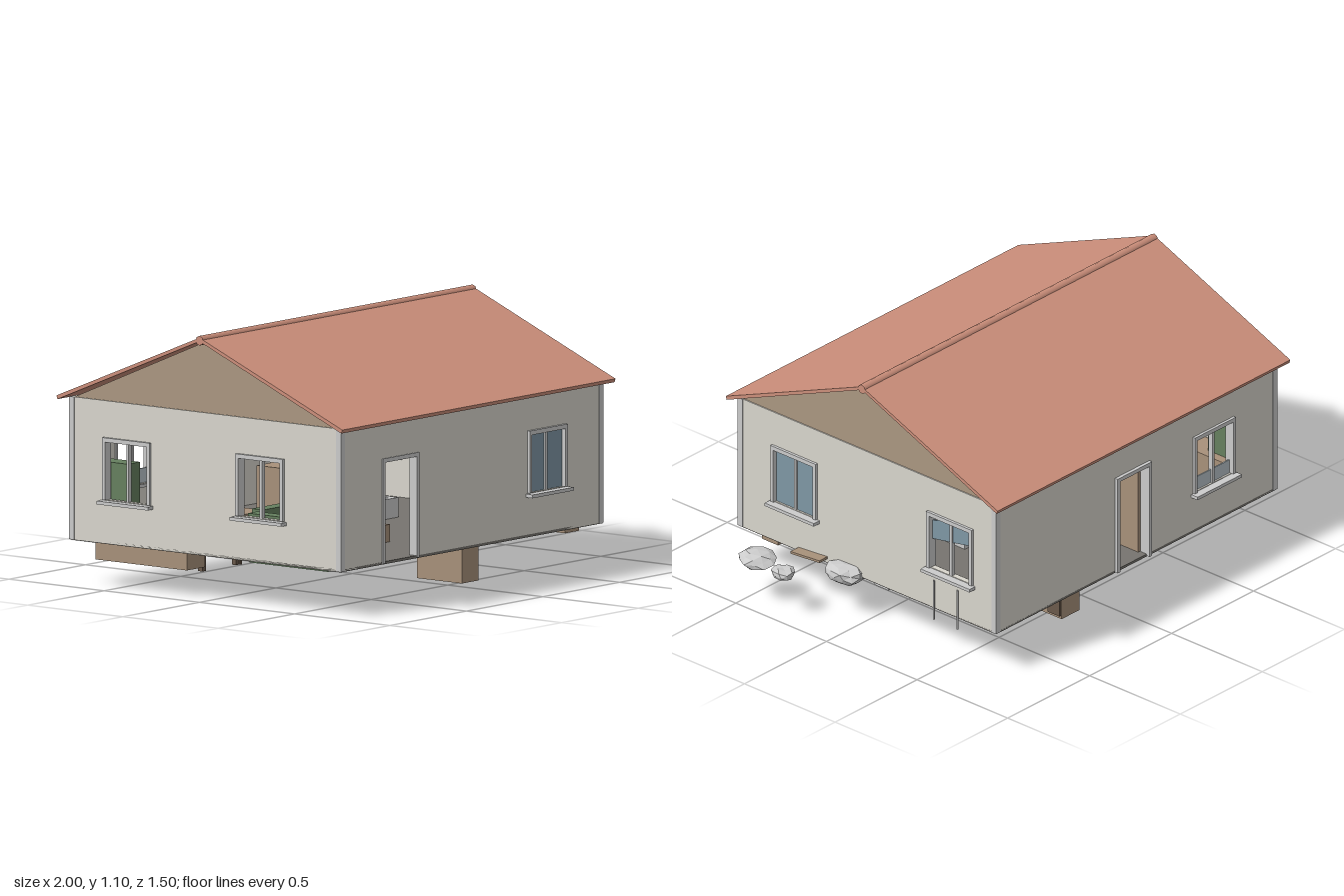
import * as THREE from 'three';

const mat = (color, flat = false) => new THREE.MeshStandardMaterial({ color, flatShading: flat, side: THREE.DoubleSide });
const M = {
  wall: mat(0xd9d6cd), trim: mat(0xcccccc), rock: mat(0xcccccc, true), roof: mat(0xcc8f7b),
  gable: mat(0xab9781), wood: mat(0xa8917a), darkWood: mat(0x6b5a4c), glass: mat(0x7f97a5),
  floor: mat(0x77746f), green: mat(0x66805f), paleGlass: mat(0xb8c4ca),
};
const X0 = -0.96, X1 = 0.75, CX = (X0 + X1) / 2, ZW = 0.71, Y0 = 0.19, Y1 = 0.78, T = 0.025;

function add(parent, name, geo, material, x = 0, y = 0, z = 0) {
  const m = new THREE.Mesh(geo, material);
  m.name = name;
  m.position.set(x, y, z);
  parent.add(m);
  return m;
}

// Box given by its min and max on each axis
function box(parent, name, material, x0, x1, y0, y1, z0, z1) {
  return add(parent, name, new THREE.BoxGeometry(x1 - x0, y1 - y0, z1 - z0), material,
    (x0 + x1) / 2, (y0 + y1) / 2, (z0 + z1) / 2);
}

function polygon(points) {
  return new THREE.Shape(points.map(p => new THREE.Vector2(p[0], p[1])));
}

function rect(u0, u1, v0, v1) {
  return [[u0, v0], [u1, v0], [u1, v1], [u0, v1]];
}

// Wall side in its own frame: u along the wall, y up, z outward
function wallSide(parent, name, x, z, angle, half, openings) {
  const g = new THREE.Group();
  g.name = name;
  g.position.set(x, 0, z);
  g.rotation.y = angle;
  parent.add(g);
  const shape = polygon(openings.some(o => o.door)
    ? [[-half, Y0], ...openings.filter(o => o.door).flatMap(o =>
      [[o.u - o.w, Y0], [o.u - o.w, 0.62], [o.u + o.w, 0.62], [o.u + o.w, Y0]]), [half, Y0], [half, Y1], [-half, Y1]]
    : rect(-half, half, Y0, Y1));
  for (const o of openings) if (!o.door) shape.holes.push(polygon(rect(o.u - 0.12, o.u + 0.12, 0.37, 0.62).reverse()));
  add(g, 'wall', new THREE.ExtrudeGeometry(shape, { depth: T, bevelEnabled: false }), M.wall, 0, 0, -T);
  for (const o of openings) o.door ? doorFrame(g, o) : windowUnit(g, o);
  return g;
}

function doorFrame(g, { u, w, out = 0.004, leaf }) {
  for (const s of [-1, 1]) {
    const a = u + s * w, b = u + s * (w - 0.016);
    box(g, 'doorJamb', M.trim, Math.min(a, b), Math.max(a, b), Y0, 0.62, -0.035, out);
  }
  box(g, 'doorLintel', M.trim, u - w, u + w, 0.608, 0.625, -0.035, out);
  // Door leaf swung inward
  if (leaf) box(g, 'doorLeaf', M.wood, u + w - 0.03, u + w - 0.016, Y0 + 0.01, 0.605, -0.22, -0.035);
}

function windowUnit(g, { u, glass }) {
  for (const s of [-1, 1]) box(g, 'windowJamb', M.trim, u + s * 0.117 - 0.008, u + s * 0.117 + 0.008, 0.37, 0.625, -0.03, 0.012);
  box(g, 'windowHead', M.trim, u - 0.125, u + 0.125, 0.61, 0.628, -0.03, 0.012);
  box(g, 'windowSill', M.trim, u - 0.135, u + 0.135, 0.353, 0.367, -0.03, 0.035);
  box(g, 'mullion', M.trim, u - 0.006, u + 0.006, 0.37, 0.61, -0.02, 0);
  if (glass === 'full') box(g, 'glass', M.glass, u - 0.112, u + 0.112, 0.37, 0.61, -0.014, -0.008);
  if (glass === 'low') box(g, 'lowerGlass', M.paleGlass, u - 0.112, u + 0.112, 0.37, 0.43, -0.014, -0.008);
  // Broken pane with a slanted lower edge
  if (glass === 'broken') add(g, 'brokenGlass', new THREE.ExtrudeGeometry(
    polygon([[u - 0.11, 0.5], [u + 0.11, 0.54], [u + 0.11, 0.61], [u - 0.02, 0.61], [u - 0.11, 0.585]]),
    { depth: 0.006, bevelEnabled: false }), M.glass, 0, 0, -0.014);
}

// Rock: an icosahedron with corners pushed by a position hash
function rock(parent, x, y, z, sx, sy, sz, seed) {
  const geo = new THREE.IcosahedronGeometry(1, 1), p = geo.attributes.position, v = new THREE.Vector3();
  for (let i = 0; i < p.count; i++) {
    v.fromBufferAttribute(p, i);
    const h = Math.sin(Math.round(v.x * 50) * 12.99 + Math.round(v.y * 50) * 78.23 + Math.round(v.z * 50) * 37.7 + seed) * 437.58;
    v.multiplyScalar(0.78 + 0.27 * (h - Math.floor(h)));
    p.setXYZ(i, v.x * sx, v.y * sy, v.z * sz);
  }
  geo.computeVertexNormals();
  add(parent, 'rock', geo, M.rock, x, y, z);
}

function buildShell(g) {
  const halfX = (X1 - X0) / 2;
  wallSide(g, 'frontWall', CX, ZW, 0, halfX, [{ door: true, u: -0.465, w: 0.12 }, { u: 0.49, glass: 'full' }]);
  wallSide(g, 'rightWall', X1, 0, Math.PI / 2, ZW, [{ u: -0.4, glass: 'full' }, { u: 0.46, glass: 'broken' }]);
  wallSide(g, 'backWall', CX, -ZW, Math.PI, halfX, [{ door: true, u: -0.025, w: 0.105, out: 0.015, leaf: true }, { u: 0.47, glass: 'low' }]);
  wallSide(g, 'leftWall', X0, 0, -Math.PI / 2, ZW, [{ u: -0.41 }, { u: 0.29 }]);
  box(g, 'floor', M.floor, X0, X1, Y0 - 0.003, Y0 + 0.008, -ZW, ZW);
  box(g, 'ceiling', M.wall, X0 + T, X1 - T, Y1 - 0.012, Y1 - 0.002, -ZW + T, ZW - T);
  for (const x of [X0 + 0.01, X1 - 0.01]) for (const z of [-ZW + 0.01, ZW - 0.01])
    box(g, 'cornerPost', M.trim, x - 0.013, x + 0.013, Y0, Y1, z - 0.013, z + 0.013);
}

function buildRoof(g) {
  const section = polygon([[0.75, 0.785], [0, 1.095], [-0.75, 0.785], [-0.745, 0.77], [0, 1.08], [0.745, 0.77]]);
  const roof = add(g, 'roof', new THREE.ExtrudeGeometry(section, { depth: 1.785, bevelEnabled: false }), M.roof, 0.785);
  roof.rotation.y = -Math.PI / 2;
  const cap = add(g, 'ridgeCap', new THREE.CylinderGeometry(0.02, 0.02, 1.785, 8), M.roof, -0.1075, 1.083, 0);
  cap.rotation.z = Math.PI / 2;
  for (const x of [X0 + 0.025, X1 - 0.005]) {
    const gable = add(g, 'gable', new THREE.ExtrudeGeometry(polygon([[-0.69, Y1], [0.69, Y1], [0, 1.075]]),
      { depth: 0.02, bevelEnabled: false }), M.gable, x);
    gable.rotation.y = -Math.PI / 2;
  }
}

function buildFurniture(g) {
  // Two deep cabinets reaching below the floor
  for (const [z, x] of [[0.4, 0], [-0.465, 0.03]]) {
    box(g, 'cabinet', M.wood, 0.07 + x, 0.18 + x, 0, 0.38, z - 0.118, z + 0.118);
    box(g, 'cabinetDoor', M.darkWood, 0.18 + x, 0.19 + x, 0.015, 0.36, z - 0.115, z - 0.05);
  }
  // Bed and bedside box
  box(g, 'bedBase', M.wood, 0.3, 0.72, 0.182, 0.26, 0.22, 0.46);
  box(g, 'mattress', M.trim, 0.31, 0.71, 0.26, 0.3, 0.23, 0.45);
  box(g, 'bedsideBox', M.wood, 0.63, 0.72, 0.15, 0.27, 0.52, 0.61);
  box(g, 'washStand', M.trim, 0.61, 0.71, 0.15, 0.3, -0.08, 0);
  // Open tub
  const tub = polygon(rect(-0.02, 0.3, 0.0, 0.13));
  tub.holes.push(polygon(rect(0.01, 0.27, 0.025, 0.105).reverse()));
  add(g, 'tub', new THREE.ExtrudeGeometry(tub, { depth: 0.13, bevelEnabled: false }), M.trim, 0, 0.15, 0).rotation.x = -Math.PI / 2;
  box(g, 'lowTable', M.wood, -0.32, -0.24, 0.15, 0.27, 0.13, 0.39);
  // Armchair and sofa
  box(g, 'armchairSeat', M.green, -0.62, -0.42, 0.175, 0.28, 0, 0.17);
  box(g, 'armchairBack', M.green, -0.62, -0.42, 0.28, 0.34, -0.03, 0.03);
  box(g, 'sofaSeat', M.green, -0.92, -0.75, 0.175, 0.28, 0.2, 0.61);
  box(g, 'sofaBack', M.green, -0.93, -0.87, 0.28, 0.38, 0.2, 0.61);
  for (const z of [0.2, 0.58]) box(g, 'sofaArm', M.green, -0.92, -0.75, 0.28, 0.32, z, z + 0.03);
  // Sideboard with a tall box on it
  box(g, 'sideboard', M.wood, -0.92, -0.8, 0.11, 0.32, -0.61, -0.13);
  box(g, 'tallBox', M.green, -0.92, -0.84, 0.32, 0.52, -0.6, -0.44);
  // Table and stool legs
  box(g, 'tableTop', M.wood, -0.61, -0.34, 0.27, 0.285, -0.36, -0.18);
  const legs = [[-0.585, -0.32, 0.05, 0.012], [-0.365, -0.32, 0.05, 0.01], [-0.35, -0.31, 0.05, 0.006],
    [-0.54, -0.2, 0.11, 0.006], [-0.51, -0.25, 0.11, 0.006], [-0.46, -0.2, 0.11, 0.006], [-0.46, -0.25, 0.11, 0.006],
    [0.51, -0.42, 0.15, 0.005], [0.51, -0.5, 0.15, 0.005]];
  for (const [x, z, y, r] of legs) box(g, 'leg', M.darkWood, x - r, x + r, y, 0.27, z - r, z + r);
}

function buildOutside(g) {
  rock(g, 0.77, 0.19, 0.11, 0.075, 0.043, 0.098, 1);
  rock(g, 0.94, 0.19, 0.295, 0.053, 0.032, 0.058, 5);
  rock(g, 0.92, 0.193, 0.455, 0.08, 0.042, 0.092, 9);
  const plank = box(g, 'plank', M.wood, 0.74, 0.8, 0.2, 0.21, 0.22, 0.38);
  plank.rotation.x = 0.08;
  // Thin rods hanging below the broken window
  for (const z of [-0.38, -0.51]) add(g, 'rod', new THREE.CylinderGeometry(0.004, 0.004, 0.18, 8), M.trim, 0.765, 0.235, z);
}

export function createModel() {
  const house = new THREE.Group();
  house.name = 'house';
  for (const [name, build] of [['shell', buildShell], ['roofParts', buildRoof], ['furniture', buildFurniture], ['outside', buildOutside]]) {
    const part = new THREE.Group();
    part.name = name;
    build(part);
    house.add(part);
  }
  return house;
}
